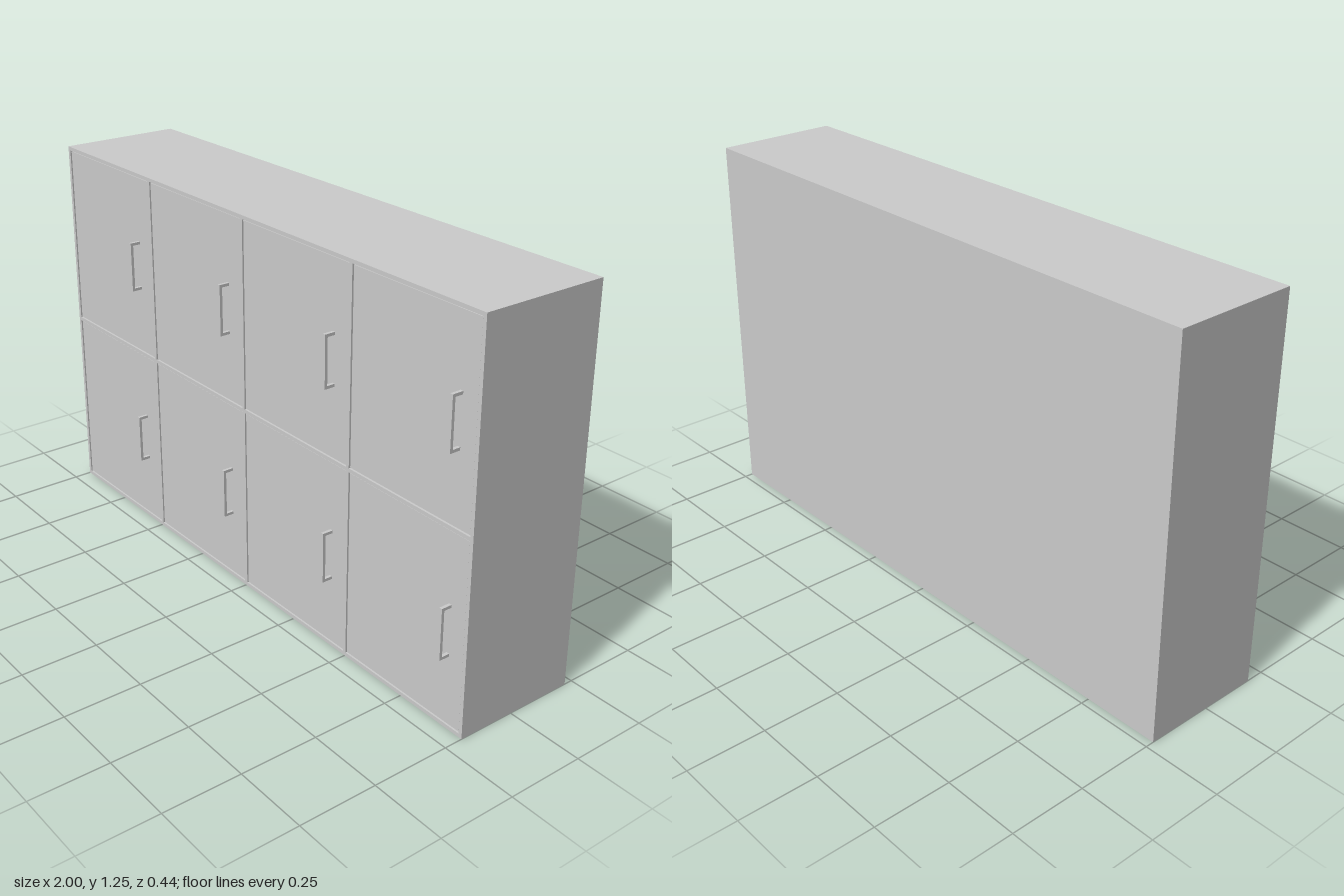
import * as THREE from 'three';

const W = 2, H = 1.245, BACK = -0.222, FRONT = 0.19;
const COLS = 4, ROWS = 2, BOARD = 0.012, GAP = 0.003;
const DOOR_DEPTH = 0.018, DOOR_FACE = 0.187;

const material = new THREE.MeshStandardMaterial({ color: 0xcccccc });

function rectPoints(w, h, cx, cy) {
  return [[-1, -1], [1, -1], [1, 1], [-1, 1]].map(
    ([sx, sy]) => new THREE.Vector2(cx + sx * w / 2, cy + sy * h / 2));
}

function part(name, geometry, x = 0, y = 0, z = 0) {
  const mesh = new THREE.Mesh(geometry, material);
  mesh.name = name;
  mesh.position.set(x, y, z);
  return mesh;
}

// Bracket pull: a C-shaped side profile given thickness across x
function handleGeometry() {
  const h = 0.164, reach = FRONT + 0.032 - DOOR_FACE, t = 0.009, width = 0.01;
  const profile = new THREE.Shape([
    [0, -h / 2], [reach, -h / 2], [reach, h / 2], [0, h / 2],
    [0, h / 2 - t], [reach - t, h / 2 - t], [reach - t, -h / 2 + t], [0, -h / 2 + t],
  ].map(([x, y]) => new THREE.Vector2(x, y)));
  const geometry = new THREE.ExtrudeGeometry(profile, { depth: width, bevelEnabled: false });
  geometry.translate(0, 0, -width / 2);
  geometry.rotateY(-Math.PI / 2);
  return geometry;
}

export function createModel() {
  const group = new THREE.Group();
  group.name = 'lockerCabinet';

  // Compartment size and centres
  const cellW = (W - BOARD * (COLS + 1)) / COLS;
  const cellH = (H - BOARD * (ROWS + 1)) / ROWS;
  const cells = [];
  for (let r = 0; r < ROWS; r++) {
    for (let c = 0; c < COLS; c++) {
      cells.push([
        -W / 2 + BOARD + cellW / 2 + c * (cellW + BOARD),
        BOARD + cellH / 2 + r * (cellH + BOARD),
        c, r,
      ]);
    }
  }

  // Carcass: outer walls and dividers as one board grid, closed by a back panel
  const outline = new THREE.Shape(rectPoints(W, H, 0, H / 2));
  for (const [x, y] of cells) outline.holes.push(new THREE.Path(rectPoints(cellW, cellH, x, y)));
  const carcass = new THREE.ExtrudeGeometry(outline, {
    depth: FRONT - BACK - BOARD, bevelEnabled: false,
  });
  group.add(part('carcass', carcass, 0, 0, BACK + BOARD));
  group.add(part('backPanel', new THREE.BoxGeometry(W, H, BOARD), 0, H / 2, BACK + BOARD / 2));

  // Inset doors, each with a pull near its +x edge
  const doorGeometry = new THREE.BoxGeometry(cellW - 2 * GAP, cellH - 2 * GAP, DOOR_DEPTH);
  const pullGeometry = handleGeometry();
  for (const [x, y, c, r] of cells) {
    const unit = new THREE.Group();
    unit.name = `doorUnit_${r + 1}_${c + 1}`;
    unit.add(part('door', doorGeometry, x, y, DOOR_FACE - DOOR_DEPTH / 2));
    unit.add(part('handle', pullGeometry, -0.573 + c * 0.5, 0.314 + r * 0.621, DOOR_FACE));
    group.add(unit);
  }
  return group;
}
